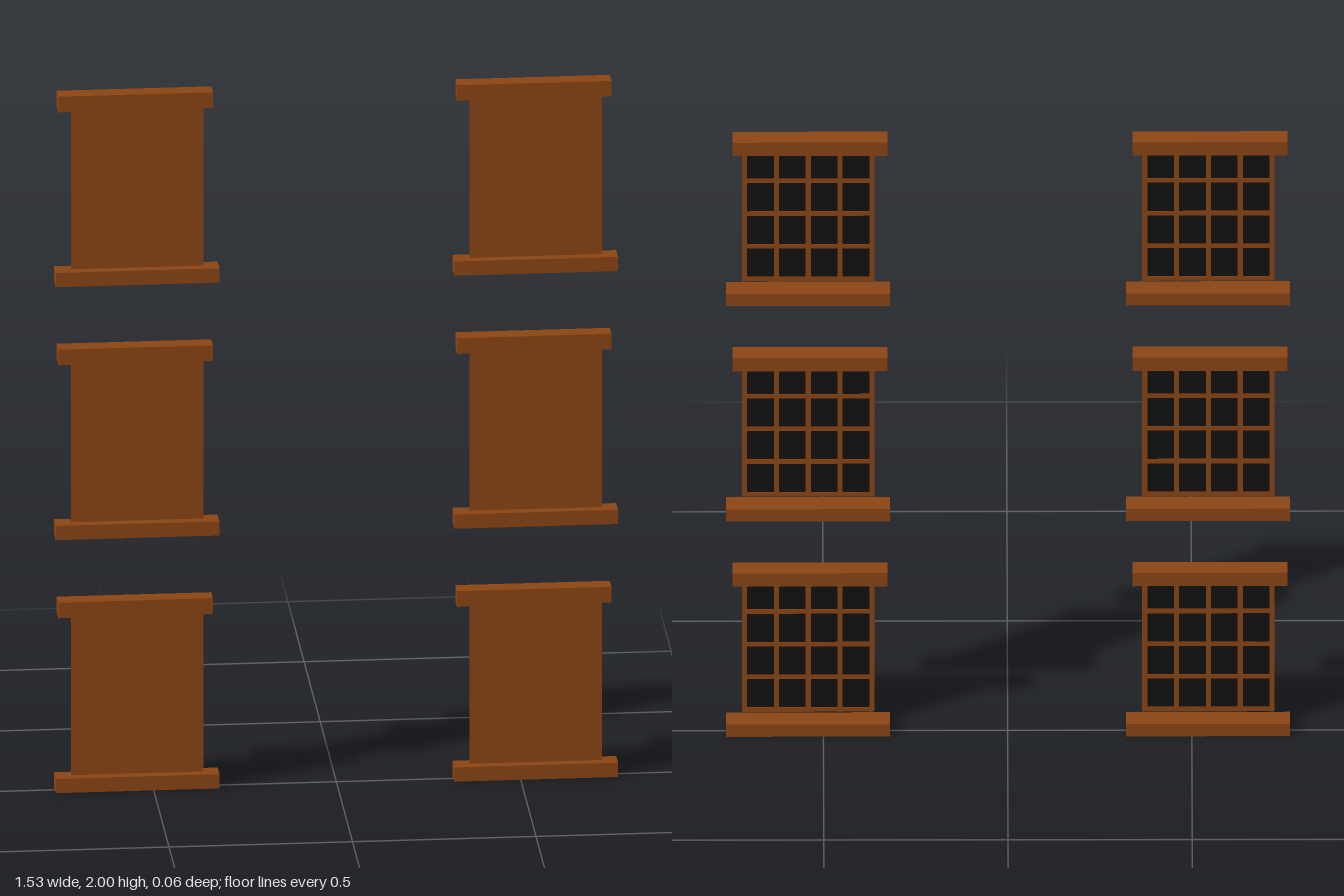
import * as THREE from 'three';

const wood = new THREE.MeshStandardMaterial({ color: 0x8b4513 });
const dark = new THREE.MeshStandardMaterial({ color: 0x111111 });

// Box given by its minimum and maximum corners
function box(name, material, [x0, y0, z0], [x1, y1, z1]) {
  const mesh = new THREE.Mesh(new THREE.BoxGeometry(x1 - x0, y1 - y0, z1 - z0), material);
  mesh.position.set((x0 + x1) / 2, (y0 + y1) / 2, (z0 + z1) / 2);
  mesh.name = name;
  return mesh;
}

// One window: x = 0 at the middle of the sill, y = 0 at its underside
function createWindow() {
  const g = new THREE.Group();
  const left = -0.181, right = 0.179, bottom = 0.05, top = 0.505;
  const bar = 0.014, columns = 4, rows = 4;

  g.add(box('sill', wood, [-0.223, 0, -0.028], [0.223, 0.041, 0.028]));
  g.add(box('lintel', wood, [-0.216, 0.502, -0.022], [0.205, 0.547, 0.028]));
  g.add(box('backingPanel', wood, [left, bottom, 0.022], [right, top, 0.027]));
  g.add(box('glass', dark, [left + 0.004, bottom + 0.004, 0.0205], [right - 0.004, top - 0.004, 0.0225]));

  // Frame edges and glazing bars on the back
  for (let i = 0; i <= columns; i++) {
    const x = left + (right - left - bar) * i / columns;
    g.add(box('verticalBar', wood, [x, bottom, 0.018], [x + bar, top, 0.0225]));
  }
  for (let j = 0; j <= rows; j++) {
    const y = bottom + (top - bottom - bar) * j / rows;
    g.add(box('horizontalBar', wood, [left, y, 0.0183], [right, y + bar, 0.0225]));
  }
  return g;
}

export function createModel() {
  const model = new THREE.Group();
  model.name = 'windows';
  // Two columns of three windows
  for (const [side, x] of [['right', -0.544], ['left', 0.542]]) {
    for (let row = 0; row < 3; row++) {
      const w = createWindow();
      w.name = `${side}Window${row + 1}`;
      w.position.set(x, row * 0.7265, 0);
      model.add(w);
    }
  }
  return model;
}
